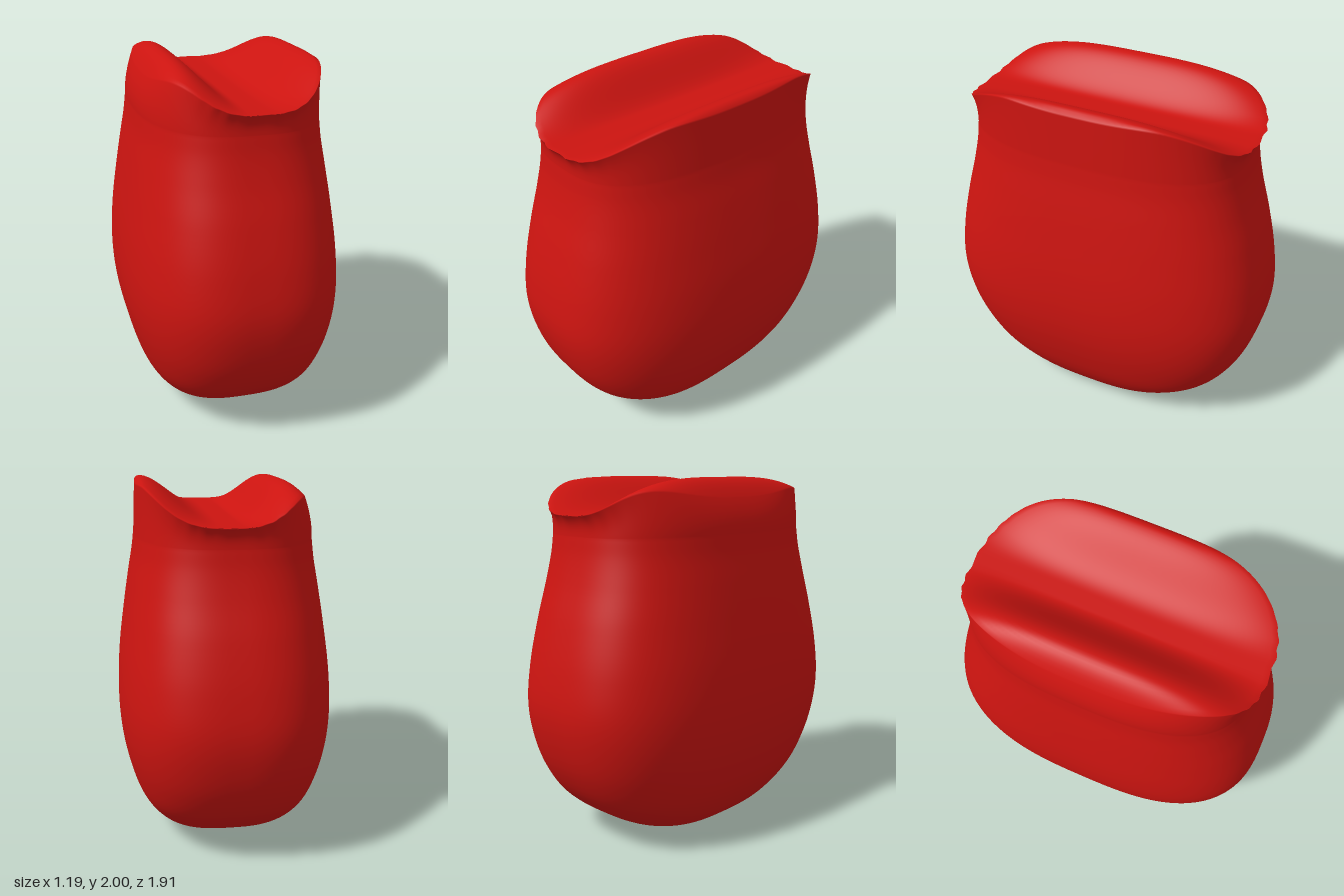
import * as THREE from 'three';
import { ParametricGeometry } from 'three/addons/geometries/ParametricGeometry.js';
import { mergeVertices } from 'three/addons/utils/BufferGeometryUtils.js';

const { lerp, smoothstep } = THREE.MathUtils;
const SHOULDER = 0.6; // v where the belly ends and the neck begins
const RIM = 0.78;     // v where the neck turns into the seat

// Belly profile: (half width, height, half depth)
const belly = new THREE.CatmullRomCurve3([
  [0, 0, 0], [0.17, 0.005, 0.2], [0.3, 0.03, 0.37], [0.4, 0.1, 0.56], [0.495, 0.25, 0.76],
  [0.55, 0.42, 0.87], [0.585, 0.6, 0.93], [0.596, 0.78, 0.953], [0.585, 1, 0.93],
  [0.553, 1.25, 0.875], [0.522, 1.45, 0.82], [0.496, 1.6, 0.788], [0.484, 1.7, 0.776],
].map((p) => new THREE.Vector3(...p)));

// Cross-section of the seat: soft ridge, valley, sharper ridge
function ridge(x) {
  if (x < -0.31) return 2 - 0.1 * ((x + 0.31) / 0.12) ** 2;
  if (x < 0) return 2 - 0.19 * smoothstep(x, -0.31, -0.03);
  if (x < 0.435) return 1.81 + 0.19 * smoothstep(x, 0.06, 0.445) ** 1.15;
  return 2 - 0.02 * ((x - 0.435) / 0.035) ** 2;
}

// The ridges sink toward both ends
function seatHeight(x, z) {
  const sink = 0.75 * Math.min(1, Math.abs(z) / 0.8) ** 3.3;
  return 1.81 + (ridge(x) - 1.81) * (1 - sink);
}

const point = new THREE.Vector3();
function surface(u, v, target) {
  const angle = u * Math.PI * 2;
  const rounded = (n) => Math.sign(n) * Math.abs(n) ** (2 / 2.8);
  const c = rounded(Math.cos(angle));
  const s = -rounded(Math.sin(angle));

  if (v <= SHOULDER) {
    belly.getPoint(v / SHOULDER, point);
    target.set(point.x * c, point.y, point.z * s);
    return;
  }
  // Rim, with a slight pucker at the two ends
  const pucker = 0.006 * Math.sin(angle * 38) * Math.abs(Math.sin(angle)) ** 8;
  const rimX = c * (c > 0 ? 0.472 : 0.43);
  const rimZ = s * (0.81 + pucker);
  if (v <= RIM) {
    const w = (v - SHOULDER) / (RIM - SHOULDER);
    target.set(
      lerp(0.484 * c, rimX, c > 0 ? w : w * w),
      lerp(1.7, seatHeight(rimX, rimZ), w),
      lerp(0.776 * s, rimZ, w ** 3),
    );
  } else {
    const r = Math.max(0, (1 - v) / (1 - RIM)) ** 1.3;
    const x = rimX * r;
    const z = rimZ * r;
    target.set(x, seatHeight(x, z), z);
  }
}

export function createModel() {
  const group = new THREE.Group();
  group.name = 'beanbagStool';

  // Closed skin: belly, neck and saddle-shaped seat, welded for smooth shading
  let geometry = new ParametricGeometry(surface, 160, 150);
  geometry.deleteAttribute('uv');
  geometry.deleteAttribute('normal');
  geometry = mergeVertices(geometry, 1e-4);
  geometry.computeVertexNormals();

  const cushion = new THREE.Mesh(geometry, new THREE.MeshStandardMaterial({ color: 0xcc1410 }));
  cushion.name = 'cushion';
  group.add(cushion);
  return group;
}
